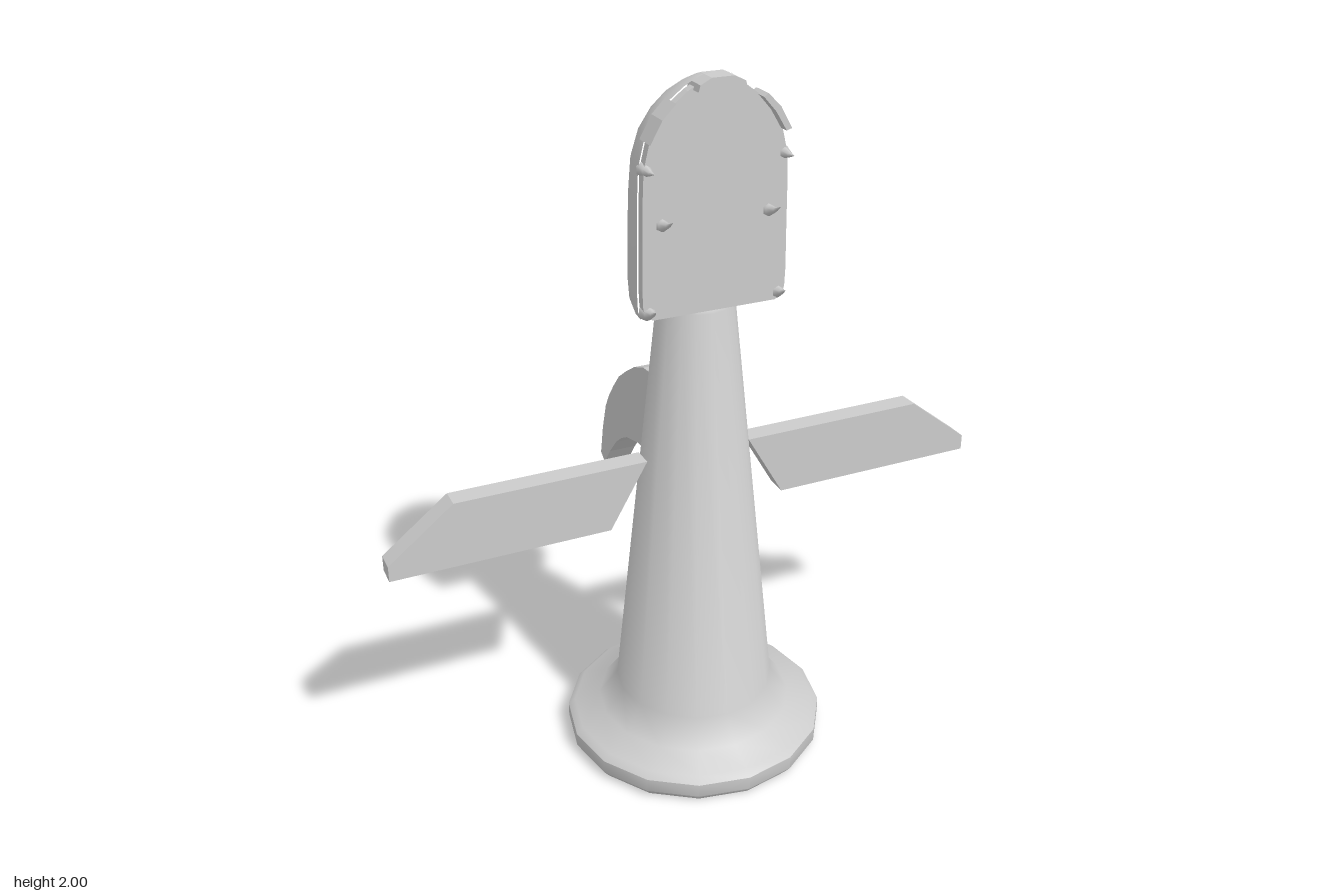
import * as THREE from 'three';
import { toCreasedNormals } from 'three/addons/utils/BufferGeometryUtils.js';

const AXIS_Z = 0.12; // body axis
const RIM_Z = 0.22; // front edge of the head shell

// Head cross-sections: [y, half width, back z]
const HEAD = [
  [1.385, 0.18, 0.02], [1.395, 0.2, 0.0], [1.42, 0.208, -0.025], [1.47, 0.21, -0.038],
  [1.6, 0.208, -0.038], [1.7, 0.207, -0.026], [1.79, 0.203, -0.003], [1.855, 0.187, 0.024],
  [1.91, 0.155, 0.056], [1.945, 0.122, 0.085], [1.975, 0.082, 0.13], [1.99, 0.055, 0.162], [2.0, 0.03, 0.2],
];

function extrude(points, depth) {
  const shape = new THREE.Shape(points.map(([x, y]) => new THREE.Vector2(x, y)));
  return new THREE.ExtrudeGeometry(shape, { depth, bevelEnabled: false, curveSegments: 1 });
}

// D-shaped rings lofted upwards, closed at both ends
function headShell() {
  const n = 16, pos = [], index = [];
  const first = HEAD[0], last = HEAD[HEAD.length - 1];
  const rings = [[first[0], 0, RIM_Z], ...HEAD, [last[0], 0, RIM_Z]];
  rings.forEach(([y, w, back], i) => {
    for (let j = 0; j <= n; j++) {
      const a = (j / n) * Math.PI;
      pos.push(w * Math.cos(a), y, RIM_Z - (RIM_Z - back) * Math.sin(a));
      if (i < rings.length - 1 && j < n) {
        const p = i * (n + 1) + j, q = p + n + 1;
        index.push(p, p + 1, q, p + 1, q + 1, q);
      }
    }
  });
  const g = new THREE.BufferGeometry();
  g.setAttribute('position', new THREE.Float32BufferAttribute(pos, 3));
  g.setIndex(index);
  return toCreasedNormals(g, 0.75);
}

// Small spike pointing forward, its tip raised by lift
function spike(radius, length, lift) {
  const g = new THREE.ConeGeometry(radius, length, 6, 3);
  g.translate(0, length / 2, 0).rotateX(Math.PI / 2);
  const p = g.attributes.position;
  for (let i = 0; i < p.count; i++) {
    p.setY(i, p.getY(i) + lift * (p.getZ(i) / length) ** 2);
  }
  g.computeVertexNormals();
  return g;
}

export function createModel() {
  const model = new THREE.Group();
  const material = new THREE.MeshStandardMaterial({ color: 0xcccccc });
  const add = (name, geometry, parent = model) => {
    const mesh = new THREE.Mesh(geometry, material);
    mesh.name = name;
    parent.add(mesh);
    return mesh;
  };

  // Tapered body with flared foot
  const profile = [
    [0, 0], [0.365, 0], [0.38, 0.02], [0.38, 0.06], [0.36, 0.078], [0.285, 0.105],
    [0.23, 0.18], [0.105, 1.38], [0.1, 1.39], [0, 1.39],
  ].map(([r, y]) => new THREE.Vector2(r, y));
  add('body', toCreasedNormals(new THREE.LatheGeometry(profile, 16), 0.7)).position.z = AXIS_Z;

  // Wings
  for (const s of [1, -1]) {
    const outline = [[0.155, 0.94], [0.7, 0.94], [0.885, 0.795], [0.885, 0.75], [0.265, 0.75]];
    const wing = add(s > 0 ? 'leftWing' : 'rightWing', extrude(outline.map(([x, y]) => [s * x, y]), 0.06));
    wing.position.z = 0.085;
  }

  // Curved tail, drawn as distance behind the centre against height
  const tail = extrude([
    [0.01, 1.08], [0.08, 1.085], [0.14, 1.08], [0.21, 1.052], [0.275, 1.01], [0.33, 0.97], [0.375, 0.92],
    [0.415, 0.87], [0.445, 0.82], [0.475, 0.73], [0.497, 0.63], [0.465, 0.61], [0.42, 0.67],
    [0.365, 0.73], [0.32, 0.765], [0.275, 0.79], [0.19, 0.812], [0.12, 0.818], [0.04, 0.815],
  ], 0.086);
  add('tail', tail.rotateY(Math.PI / 2).translate(-0.043, 0, 0));

  // Head shell and raised face plate
  const head = new THREE.Group();
  head.name = 'head';
  model.add(head);
  add('headShell', headShell(), head);
  const side = HEAD.map(([y, w]) => [w * 0.96, 1.7 + (y - 1.7) * 0.97]);
  const mirrored = side.map(([x, y]) => [-x, y]).reverse();
  add('facePlate', extrude([...side, ...mirrored], 0.025), head).position.z = RIM_Z - 0.01;

  // Blocks along the domed rim
  const block = (name, points) => {
    add(name, extrude(points, 0.065), head).position.z = 0.2;
  };
  block('topRimBlock', [[-0.065, 1.968], [0.065, 1.968], [0.06, 1.985], [0.03, 2.0], [-0.03, 2.0], [-0.06, 1.985]]);
  for (const s of [1, -1]) {
    block('sideRimBlock', [[0.175, 1.85], [0.19, 1.855], [0.158, 1.912], [0.122, 1.948], [0.11, 1.94], [0.145, 1.9]]
      .map(([x, y]) => [s * x, y]));

    // Spikes on cheeks, face and lower corners: [x, y, radius, length, lift]
    for (const [x, y, r, length, lift] of [
      [0.188, 1.785, 0.02, 0.07, 0.005],
      [0.147, 1.64, 0.022, 0.085, 0.03],
      [0.182, 1.412, 0.025, 0.06, 0.02],
    ]) {
      add('spike', spike(r, length, lift), head).position.set(s * x, y, 0.215);
    }
  }
  return model;
}
